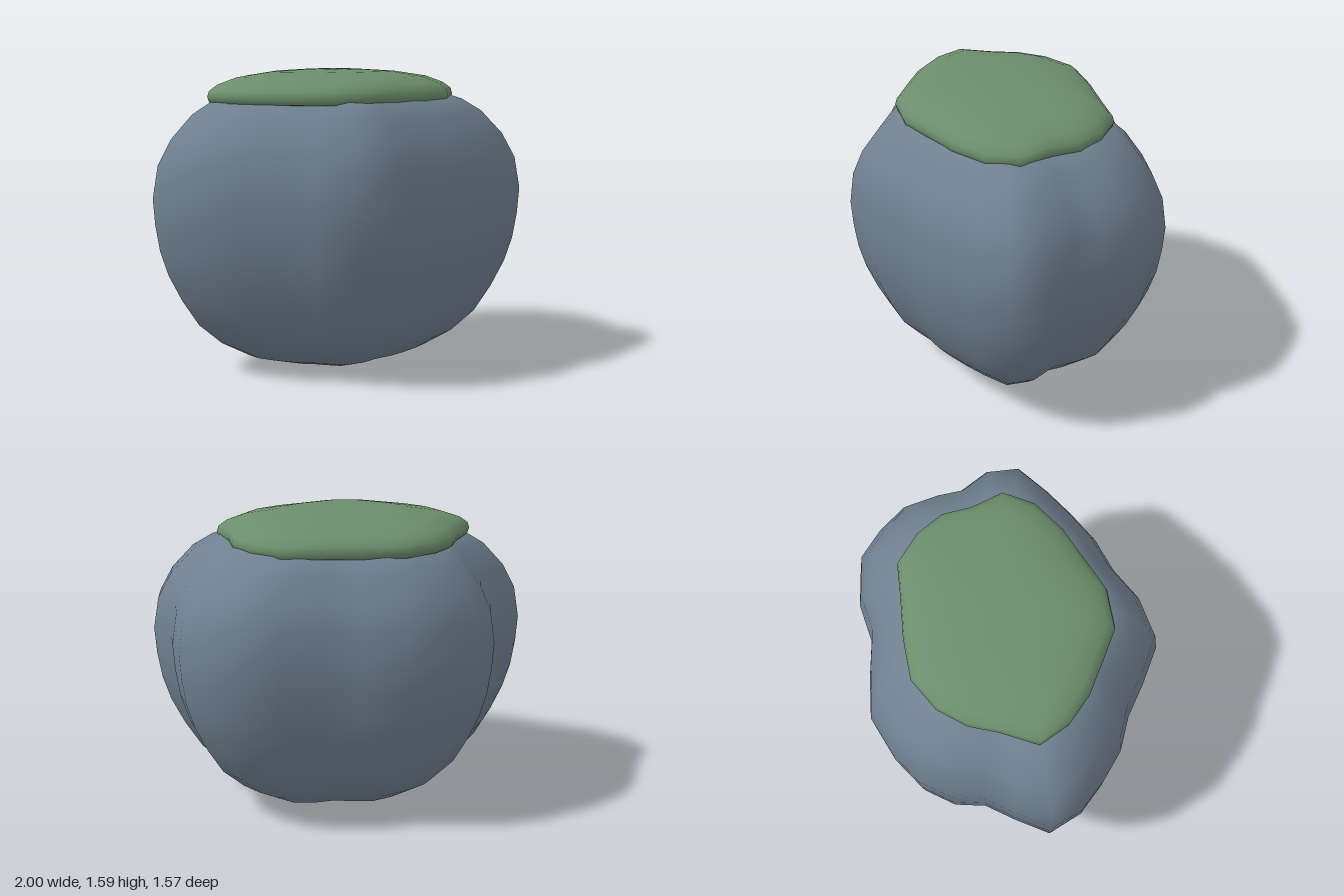
import * as THREE from 'three';

// Plan outlines as x, z pairs, running clockwise seen from above
const rockPlan = [
  -1, -0.02, -0.88, -0.18, -0.76, -0.32, -0.71, -0.48, -0.59, -0.62, -0.41, -0.72, -0.19, -0.785,
  0.03, -0.74, 0.23, -0.685, 0.45, -0.7, 0.67, -0.645, 0.8, -0.51, 0.905, -0.35, 0.925, -0.17,
  0.92, -0.02, 1, 0.155, 0.975, 0.335, 0.79, 0.455, 0.62, 0.545, 0.43, 0.63, 0.23, 0.675,
  0.035, 0.76, -0.2, 0.78, -0.38, 0.65, -0.53, 0.525, -0.7, 0.43, -0.83, 0.3, -0.945, 0.155,
];
const mossPlan = [
  -0.7, -0.02, -0.59, -0.19, -0.52, -0.33, -0.4, -0.455, -0.22, -0.54, 0, -0.525, 0.2, -0.49,
  0.4, -0.46, 0.53, -0.33, 0.605, -0.18, 0.605, -0.02, 0.645, 0.155, 0.54, 0.3, 0.36, 0.4,
  0.2, 0.45, -0.01, 0.52, -0.22, 0.5, -0.38, 0.385, -0.52, 0.28, -0.64, 0.14,
];

// Rings as [plan scale, height], from bottom to top
const rockRings = [
  [0.19, 0.008], [0.33, 0.02], [0.49, 0.06], [0.64, 0.14], [0.765, 0.25], [0.855, 0.39],
  [0.925, 0.53], [0.967, 0.66], [0.99, 0.8], [1, 0.94], [0.97, 1.11], [0.9, 1.24],
  [0.785, 1.365], [0.68, 1.43], [0.54, 1.475], [0.3, 1.51],
];
const mossRings = [
  [0.6, 1.42], [0.9, 1.415], [0.985, 1.425], [1, 1.455], [0.985, 1.485], [0.92, 1.517],
  [0.77, 1.553], [0.5, 1.58], [0.22, 1.591],
];

// Closed smooth blob: scaled copies of one outline, joined at a pole on each end
function blob(plan, rings, bottom, top) {
  const n = plan.length / 2;
  const pos = [], index = [];
  for (const [s, y] of rings) {
    for (let i = 0; i < n; i++) pos.push(plan[2 * i] * s, y, plan[2 * i + 1] * s);
  }
  const low = rings.length * n, high = low + 1, last = (rings.length - 1) * n;
  pos.push(0, bottom, 0, 0, top, 0);
  for (let i = 0; i < n; i++) {
    const k = (i + 1) % n;
    for (let j = 0; j < last; j += n) {
      index.push(j + i, j + n + i, j + k, j + k, j + n + i, j + n + k);
    }
    index.push(low, i, k, high, last + k, last + i);
  }
  const geo = new THREE.BufferGeometry();
  geo.setAttribute('position', new THREE.Float32BufferAttribute(pos, 3));
  geo.setIndex(index);
  geo.computeVertexNormals();
  return geo;
}

export function createModel() {
  const stone = new THREE.MeshStandardMaterial({ color: 0x708090 });
  stone.name = 'slate stone';
  const moss = new THREE.MeshStandardMaterial({ color: 0x6b8e6b });
  moss.name = 'moss green';

  const group = new THREE.Group();
  group.name = 'mossyBoulder';

  // Lobed boulder
  const boulder = new THREE.Mesh(blob(rockPlan, rockRings, 0, 1.52), stone);
  boulder.name = 'boulder';

  // Moss cushion resting on its crown
  const cap = new THREE.Mesh(blob(mossPlan, mossRings, 1.43, 1.594), moss);
  cap.name = 'mossCap';

  group.add(boulder, cap);
  return group;
}
